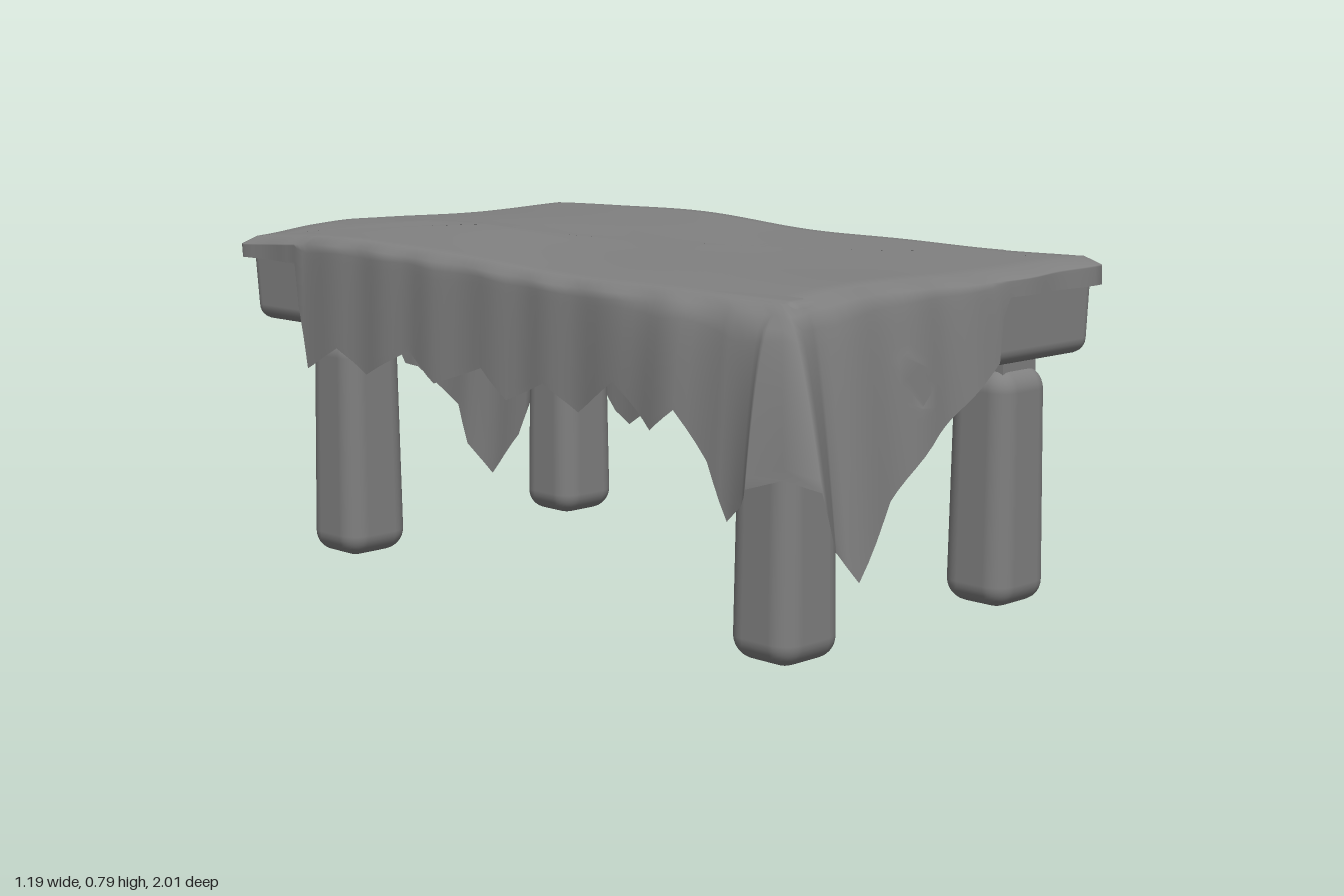
import * as THREE from 'three';
import { RoundedBoxGeometry } from 'three/addons/geometries/RoundedBoxGeometry.js';

const HALF_X = 0.505, HALF_Z = 0.875;
const clamp = THREE.MathUtils.clamp;

// Torn hem, one list per side: [position along the side, hem height, distance out]
const FRONT = [
  [0.5, 0.7, 0.877], [0.18, 0.7, 0.877], [0.15, 0.66, 0.885], [0.12, 0.57, 0.9],
  [0.01, 0.5, 0.9], [-0.09, 0.45, 0.91], [-0.26, 0.34, 0.93], [-0.38, 0.2, 0.95],
  [-0.43, 0.265, 0.94], [-0.46, 0.275, 0.96], [-0.55, 0.41, 1],
];
const LEFT_EDGE = [
  [0.91, 0.42, 0.545], [0.85, 0.4, 0.59], [0.82, 0.36, 0.57], [0.77, 0.32, 0.55],
  [0.71, 0.43, 0.55], [0.62, 0.52, 0.55], [0.55, 0.47, 0.545], [0.42, 0.55, 0.52],
  [0.3, 0.47, 0.51], [0.2, 0.52, 0.51], [0.08, 0.47, 0.51], [0, 0.53, 0.51],
  [-0.15, 0.48, 0.515], [-0.25, 0.54, 0.51], [-0.4, 0.47, 0.51], [-0.5, 0.52, 0.51],
  [-0.62, 0.46, 0.51], [-0.65, 0.6, 0.505], [-0.67, 0.7, 0.497], [-0.87, 0.7, 0.497],
];
const BACK = [
  [-0.5, 0.7, 0.872], [-0.25, 0.7, 0.872], [-0.22, 0.64, 0.88], [-0.2, 0.55, 0.885],
  [-0.14, 0.49, 0.89], [-0.02, 0.44, 0.9], [0.01, 0.385, 0.9], [0.06, 0.37, 0.91],
  [0.21, 0.25, 0.93], [0.25, 0.14, 0.94], [0.33, 0.05, 0.94], [0.43, 0.14, 0.94],
  [0.47, 0.23, 0.94], [0.53, 0.3, 1],
];
const RIGHT_EDGE = [
  [-0.9, 0.33, 0.535], [-0.86, 0.31, 0.55], [-0.8, 0.32, 0.59], [-0.75, 0.28, 0.555],
  [-0.7, 0.22, 0.55], [-0.65, 0.19, 0.55], [-0.6, 0.22, 0.55], [-0.55, 0.37, 0.54],
  [-0.48, 0.48, 0.53], [-0.4, 0.55, 0.52], [-0.28, 0.49, 0.52], [-0.2, 0.54, 0.52],
  [-0.13, 0.5, 0.52], [-0.05, 0.54, 0.52], [0.06, 0.43, 0.53], [0.1, 0.47, 0.52],
  [0.33, 0.48, 0.52], [0.38, 0.47, 0.52], [0.42, 0.54, 0.52], [0.46, 0.5, 0.52],
  [0.6, 0.45, 0.53], [0.65, 0.43, 0.53], [0.66, 0.7, 0.497], [0.87, 0.7, 0.497],
];
// Slanted holes worn through the hanging cloth
const HOLES = [
  { side: 0, at: -0.15, y: 0.56, w: 0.03, h: 0.065, lean: -0.5 },
  { side: 2, at: 0.097, y: 0.492, w: 0.042, h: 0.065, lean: 0.45 },
  { side: 3, at: -0.1, y: 0.585, w: 0.08, h: 0.022, lean: 0 },
];

// Height of the lumpy cloth lying on the tabletop
function topHeight(x, z) {
  return 0.757 + 0.026 * Math.exp(-(((z + 0.42) / 0.42) ** 2))
    + 0.014 * Math.exp(-(((x + 0.22) / 0.07) ** 2) - ((z + 0.45) / 0.3) ** 2)
    - 0.012 * THREE.MathUtils.smoothstep(-x, 0.3, 0.5)
    + 0.004 * Math.sin(x * 9 + z * 4) * Math.cos(z * 7);
}

// Edge and hem points around the whole cloth, resampled finely
function clothColumns() {
  const stations = [];
  [FRONT, LEFT_EDGE, BACK, RIGHT_EDGE].forEach((list, side) => {
    for (const [along, y, out] of list) {
      const alongX = side % 2 === 0;
      const sign = side === 0 || side === 3 ? 1 : -1;
      const hem = alongX ? new THREE.Vector3(along, y, sign * out)
        : new THREE.Vector3(sign * out, y, along);
      const edge = alongX
        ? new THREE.Vector3(clamp(along, -HALF_X, HALF_X), 0, sign * HALF_Z)
        : new THREE.Vector3(sign * Math.min(out, HALF_X), 0, clamp(along, -HALF_Z, HALF_Z));
      stations.push({ edge, hem, side });
    }
  });
  const columns = [];
  stations.forEach((a, i) => {
    const b = stations[(i + 1) % stations.length];
    const steps = Math.max(1, Math.ceil(a.edge.distanceTo(b.edge) / 0.03));
    for (let k = 0; k < steps; k++) {
      columns.push({
        edge: a.edge.clone().lerp(b.edge, k / steps),
        hem: a.hem.clone().lerp(b.hem, k / steps),
        side: a.side,
      });
    }
  });
  return columns;
}

function clothGeometry() {
  const columns = clothColumns(), n = columns.length;
  const rings = [0, 0.2, 0.4, 0.6, 0.8, 0.9, 0.965];
  const drops = 14;
  const positions = [], inHole = [], index = [];

  // Rings spreading over the top
  for (const s of rings) {
    for (const { edge } of columns) {
      const x = edge.x * s, z = edge.z * s;
      positions.push(x, topHeight(x, z), z);
      inHole.push(false);
    }
  }
  // Rows hanging from the rounded edge to the hem
  for (let r = 0; r <= drops; r++) {
    const t = r / drops;
    columns.forEach(({ edge, hem, side }, c) => {
      const axis = side % 2 === 0 ? 'x' : 'z', outAxis = axis === 'x' ? 'z' : 'x';
      const start = topHeight(edge.x, edge.z) - 0.018;
      const p = edge.clone().lerp(hem, t ** 0.75);
      // The long sides bulge out just below the edge
      if (axis === 'z') p.x = THREE.MathUtils.lerp(edge.x, hem.x, t ** 0.45);
      p.y = start + (hem.y - start) * t;
      p[outAxis] += Math.sign(p[outAxis]) * 0.004 * (1 + Math.sin(c * 0.9));
      // Push points out to the rim of a hole
      let hit = false;
      for (const hole of HOLES) {
        if (hole.side !== side) continue;
        const u = (p[axis] - hole.at - hole.lean * (p.y - hole.y)) / hole.w;
        const v = (p.y - hole.y) / hole.h;
        const d = Math.hypot(u, v);
        if (d < 1) {
          hit = true;
          p.y = hole.y + hole.h * v / (d || 1);
          p[axis] = hole.at + hole.w * u / (d || 1) + hole.lean * (p.y - hole.y);
        }
      }
      positions.push(p.x, p.y, p.z);
      inHole.push(hit);
    });
  }
  const rows = rings.length + drops;
  for (let r = 0; r < rows; r++) {
    for (let c = 0; c < n; c++) {
      const a = r * n + c, b = r * n + (c + 1) % n, d = a + n, e = b + n;
      if ([a, b, d, e].every((i) => inHole[i])) continue;
      if (r > 0) index.push(a, b, d);
      index.push(b, e, d);
    }
  }
  const g = new THREE.BufferGeometry();
  g.setAttribute('position', new THREE.Float32BufferAttribute(positions, 3));
  g.setIndex(index);
  g.computeVertexNormals();
  // The centre points share one spot, so give them one normal
  for (let c = 0; c < n; c++) g.attributes.normal.setXYZ(c, 0, 1, 0);
  return g;
}

// Moves the vertices of a geometry by a rule
function reshape(geometry, rule) {
  const p = geometry.attributes.position, v = new THREE.Vector3();
  for (let i = 0; i < p.count; i++) {
    rule(v.fromBufferAttribute(p, i));
    p.setXYZ(i, v.x, v.y, v.z);
  }
  geometry.computeBoundingSphere();
  return geometry;
}

export function createModel() {
  const group = new THREE.Group();
  const grey = new THREE.MeshStandardMaterial({ color: 0x808080 });
  const clothGrey = new THREE.MeshStandardMaterial({ color: 0x808080, side: THREE.DoubleSide });
  const add = (name, geometry, material, x, y, z) => {
    const mesh = new THREE.Mesh(geometry, material);
    mesh.name = name;
    mesh.position.set(x, y, z);
    group.add(mesh);
    return mesh;
  };

  // Slab with its underside drawn in
  const slab = reshape(new RoundedBoxGeometry(0.98, 0.196, 1.74, 3, 0.035), (v) => {
    if (v.y < -0.05) v.x *= 0.98;
  });
  add('tabletop', slab, grey, 0, 0.65, 0.003);

  // Rough-hewn legs, narrower at the top, each with a short peg into the tabletop
  const leg = reshape(new RoundedBoxGeometry(0.18, 0.525, 0.17, 4, 0.05), (v) => {
    const s = 0.96 - 0.16 * v.y;
    v.x = v.x * s + 0.003 * Math.sin(v.y * 14);
    v.z *= s + 0.02;
  });
  const peg = new THREE.BoxGeometry(0.115, 0.07, 0.11);
  for (const [end, z] of [['front', 0.73], ['back', -0.65]]) {
    for (const [side, x] of [['Left', 0.34], ['Right', -0.345]]) {
      const mesh = add(`${end}${side}Leg`, leg, grey, x, 0.2625, z);
      if (end === 'back') mesh.rotation.y = Math.PI;
      add(`${end}${side}Peg`, peg, grey, x, 0.535, z);
    }
  }

  add('tornCloth', clothGeometry(), clothGrey, 0, 0, 0);
  return group;
}
